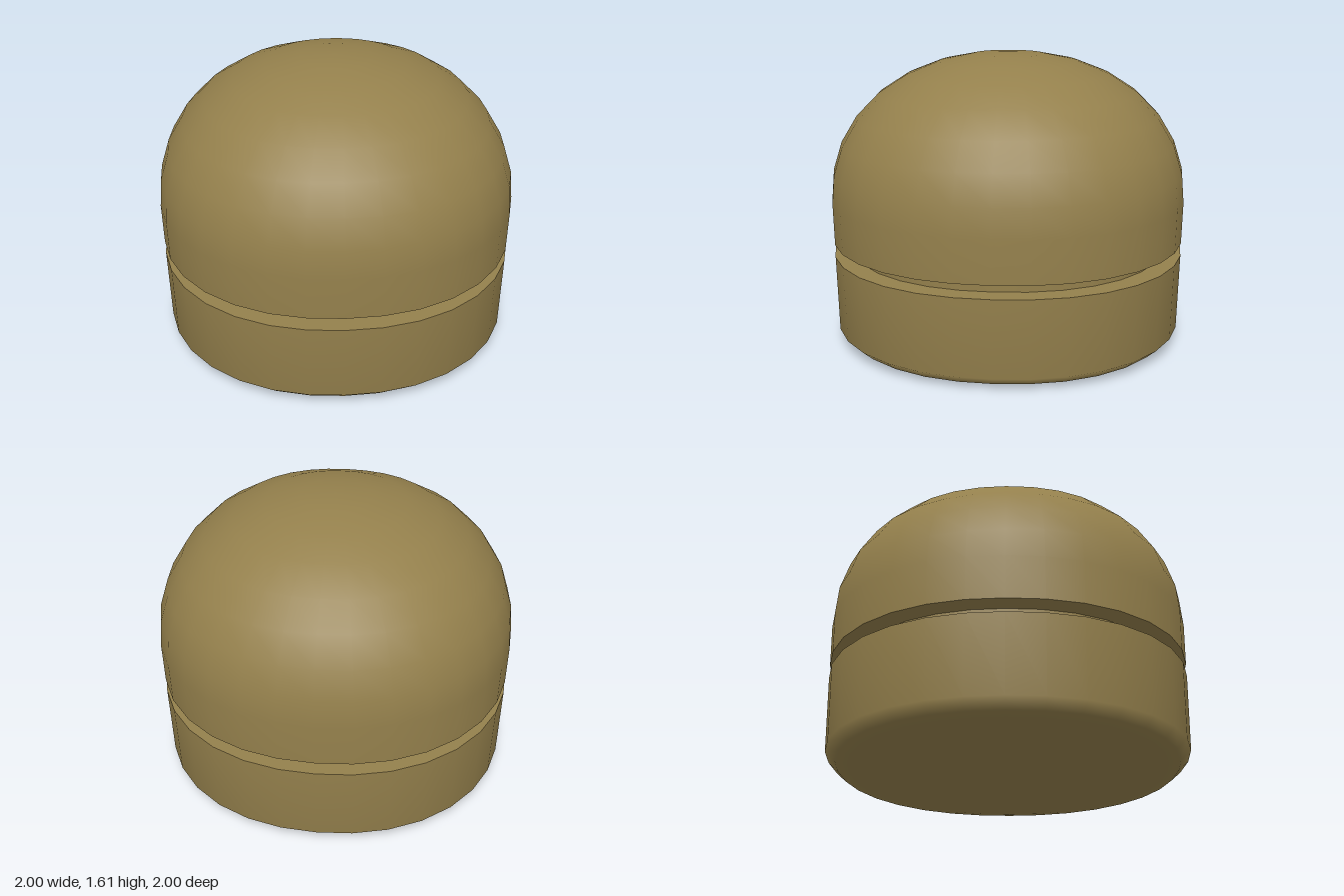
import * as THREE from 'three';
import { mergeVertices } from 'three/addons/utils/BufferGeometryUtils.js';

const P = 2.15;       // roundness exponent: a slightly squared circle
const SEGMENTS = 32;

// Revolve a profile, then push the rings out towards the diagonals.
function squaredLathe(profile) {
  const points = profile.map(([r, y]) => new THREE.Vector2(r, y));
  let geo = new THREE.LatheGeometry(points, SEGMENTS);
  const pos = geo.attributes.position;
  for (let i = 0; i < pos.count; i++) {
    const x = pos.getX(i), z = pos.getZ(i);
    const r = Math.hypot(x, z);
    if (r < 1e-6) continue;
    const k = Math.pow(Math.abs(x / r) ** P + Math.abs(z / r) ** P, -1 / P);
    pos.setX(i, x * k);
    pos.setZ(i, z * k);
  }
  geo.deleteAttribute('uv');
  geo.deleteAttribute('normal');
  geo = mergeVertices(geo, 1e-5);
  geo.computeVertexNormals();
  return geo;
}

export function createModel() {
  const group = new THREE.Group();
  const material = new THREE.MeshStandardMaterial({ color: 0x94804c });
  const add = (name, profile) => {
    const mesh = new THREE.Mesh(squaredLathe(profile), material);
    mesh.name = name;
    group.add(mesh);
  };

  const grooveBottom = 0.495, grooveTop = 0.567, equator = 0.8;
  const outer = 0.995, inner = 0.883;

  // Base with a softly rounded lower edge
  add('base', [
    [0, 0], [0.4, 0], [0.73, 0.002], [0.85, 0.008], [0.93, 0.02],
    [0.985, 0.07], [outer, grooveBottom],
  ]);

  // Groove around the body: ledge, inner wall and overhang
  add('grooveLedge', [[outer, grooveBottom], [inner, grooveBottom]]);
  add('grooveWall', [[inner, grooveBottom], [inner, grooveTop]]);
  add('grooveOverhang', [[inner, grooveTop], [outer, grooveTop]]);

  // Domed upper body
  const dome = [[outer, grooveTop]];
  const rings = 8;
  for (let i = 0; i <= rings; i++) {
    const a = (i / rings) * Math.PI / 2;
    const c = i === rings ? 0 : Math.cos(a), s = Math.sin(a);
    const k = Math.pow(c ** P + s ** P, -1 / P);
    dome.push([c * k, equator + 0.806 * s * k]);
  }
  add('dome', dome);

  return group;
}
